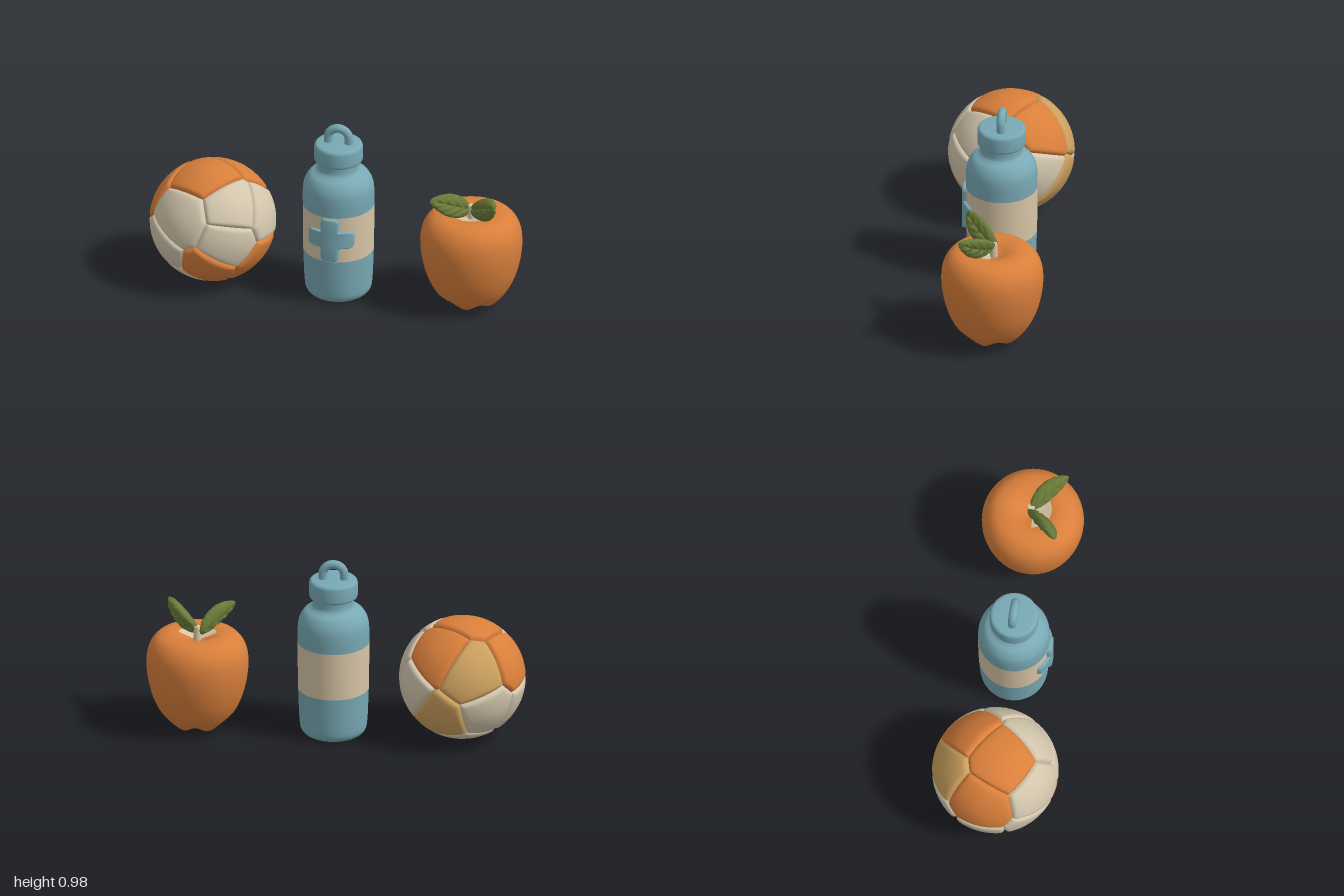
import * as THREE from 'three';
import { toCreasedNormals, mergeVertices } from 'three/addons/utils/BufferGeometryUtils.js';

const V2 = (x, y) => new THREE.Vector2(x, y);
const V3 = (x, y, z) => new THREE.Vector3(x, y, z);

function material(name, color) {
  const m = new THREE.MeshStandardMaterial({ color });
  m.name = name;
  return m;
}

function addMesh(group, name, geometry, mat) {
  const mesh = new THREE.Mesh(geometry, mat);
  mesh.name = name;
  group.add(mesh);
  return mesh;
}

// Smooth curve through a few [radius, height] pairs
const profile = (pairs, n) =>
  new THREE.SplineCurve(pairs.map(([r, y]) => V2(r, y))).getPoints(n)
    .map(p => V2(Math.max(p.x, 0), p.y));

// One padded ball panel: the region of the sphere nearest to its own seed
function panelGeometry(seed, seeds, R) {
  const rings = [0, 0.2, 0.4, 0.6, 0.72, 0.81, 0.88, 0.93, 0.97, 1];
  const segs = 120;
  const u = V3(0.3, 0.9, 0.35).cross(seed).normalize();
  const v = seed.clone().cross(u);
  const pos = [], index = [];
  const limits = [];
  for (let j = 0; j < segs; j++) {
    const a = (j / segs) * Math.PI * 2;
    const dir = u.clone().multiplyScalar(Math.cos(a)).addScaledVector(v, Math.sin(a));
    let limit = 1;
    for (const q of seeds) {
      const d = dir.dot(q);
      if (q !== seed && d > 1e-4) limit = Math.min(limit, Math.atan2(1 - seed.dot(q), d));
    }
    limits.push({ dir, limit });
  }
  for (const f of rings) {
    for (const { dir, limit } of limits) {
      const t = f * limit;
      const k = Math.max(0, 1 - (limit - t) / 0.1);
      const p = seed.clone().multiplyScalar(Math.cos(t)).addScaledVector(dir, Math.sin(t));
      p.multiplyScalar(R - 0.02 * k * k * k);
      pos.push(p.x, p.y, p.z);
    }
  }
  for (let i = 0; i < rings.length - 1; i++) {
    for (let j = 0; j < segs; j++) {
      const a = i * segs + j, b = i * segs + (j + 1) % segs;
      if (i > 0) index.push(a, b + segs, b);
      index.push(a, a + segs, b + segs);
    }
  }
  const g = new THREE.BufferGeometry();
  g.setAttribute('position', new THREE.Float32BufferAttribute(pos, 3));
  g.setIndex(index);
  const merged = mergeVertices(g, 1e-6);
  merged.computeVertexNormals();
  return merged;
}

function createBall(mats) {
  const ball = new THREE.Group();
  ball.name = 'ball';
  const R = 0.333;
  const layout = {
    cream: [[-0.4, 0.4, 0.83], [0.52, 0.58, 0.62], [0.5, 0.03, 0.86], [-0.66, -0.33, 0.66],
      [-0.42, -0.82, 0.4], [0.94, 0.28, 0.1], [0.84, 0, -0.54], [-0.5, -0.32, -0.8],
      [-0.9, -0.42, -0.12], [-0.06, -0.96, -0.24]],
    orange: [[0.06, -0.55, 0.83], [-0.1, 0.95, 0.2], [-0.88, 0.42, -0.18],
      [0.84, -0.5, 0.2], [0.42, 0.68, -0.58]],
    tan: [[-0.27, 0.42, -0.87], [0.33, -0.45, -0.83]],
  };
  const panels = Object.entries(layout).flatMap(([color, list]) =>
    list.map(p => ({ color, seed: V3(...p).normalize() })));
  const seeds = panels.map(p => p.seed);
  for (const { color, seed } of panels) {
    addMesh(ball, color + 'Panel', panelGeometry(seed, seeds, R), mats[color]);
  }
  addMesh(ball, 'seams', new THREE.SphereGeometry(R - 0.021, 48, 32), mats.cream);
  ball.scale.y = 0.975;
  ball.position.set(-0.667, 0.334, 0);
  return ball;
}

// Plus sign with rounded arm ends, wrapped on a cylinder of radius R
function crossGeometry(w, L, R) {
  const r = 0.018, shape = new THREE.Shape();
  for (let i = 0; i < 4; i++) {
    const at = (x, y) => {
      for (let k = 0; k < i; k++) [x, y] = [-y, x];
      return [x, y];
    };
    if (i === 0) shape.moveTo(...at(w, w));
    shape.lineTo(...at(w, L - r));
    shape.quadraticCurveTo(...at(w, L), ...at(w - r, L));
    shape.lineTo(...at(r - w, L));
    shape.quadraticCurveTo(...at(-w, L), ...at(-w, L - r));
    shape.lineTo(...at(-w, w));
  }
  const g = new THREE.ExtrudeGeometry(shape, {
    depth: 0.035, bevelEnabled: true, bevelSize: 0.008, bevelThickness: 0.008, bevelSegments: 3, curveSegments: 6,
  });
  const p = g.attributes.position;
  for (let i = 0; i < p.count; i++) {
    const x = p.getX(i);
    p.setZ(i, p.getZ(i) - 0.022 + Math.sqrt(R * R - x * x));
  }
  return toCreasedNormals(g, 0.7);
}

function createBottle(mats) {
  const bottle = new THREE.Group();
  bottle.name = 'bottle';
  const lathe = pts => new THREE.LatheGeometry(pts, 72);
  addMesh(bottle, 'lowerBody', lathe(profile([[0, 0.02], [0.09, 0.018], [0.125, 0.003], [0.15, 0.004],
    [0.172, 0.03], [0.179, 0.08], [0.183, 0.17], [0.186, 0.258]], 48)), mats.teal);
  addMesh(bottle, 'labelBand', lathe([V2(0.186, 0.258), V2(0.188, 0.39), V2(0.188, 0.52)]), mats.sand);
  addMesh(bottle, 'upperBody', lathe(profile([[0.188, 0.52], [0.188, 0.6], [0.18, 0.652], [0.155, 0.695],
    [0.122, 0.717], [0.108, 0.738], [0.107, 0.79]], 40)), mats.teal);

  // Screw cap with rounded rims
  const cap = new THREE.Path();
  cap.moveTo(0.09, 0.774);
  cap.lineTo(0.112, 0.774);
  cap.quadraticCurveTo(0.128, 0.774, 0.128, 0.79);
  cap.lineTo(0.128, 0.853);
  cap.quadraticCurveTo(0.128, 0.877, 0.104, 0.877);
  cap.lineTo(0, 0.877);
  addMesh(bottle, 'cap', toCreasedNormals(lathe(cap.getPoints(8)), 0.8), mats.teal);

  // Carrying loop
  const loop = [V3(-0.056, 0.86, 0), V3(-0.056, 0.905, 0)];
  for (let i = 1; i < 8; i++) {
    const a = Math.PI * (1 - i / 8);
    loop.push(V3(Math.cos(a) * 0.056, 0.905 + Math.sin(a) * 0.053, 0));
  }
  loop.push(V3(0.056, 0.905, 0), V3(0.056, 0.86, 0));
  addMesh(bottle, 'capLoop', new THREE.TubeGeometry(new THREE.CatmullRomCurve3(loop), 40, 0.023, 16), mats.teal);

  addMesh(bottle, 'cross', crossGeometry(0.04, 0.115, 0.188), mats.teal).position.y = 0.393;
  bottle.position.set(0.012, 0, -0.011);
  return bottle;
}

// Pointed, padded leaf along +y with a grooved midrib and side veins
function leafGeometry() {
  const g = new THREE.SphereGeometry(1, 40, 48);
  const p = g.attributes.position;
  for (let i = 0; i < p.count; i++) {
    const x = p.getX(i), y = p.getY(i), z = p.getZ(i);
    const taper = 1 - 0.3 * Math.max(0, y) ** 2;
    const groove = 1 - 0.45 * Math.exp(-((x / 0.14) ** 2));
    const vein = 1 + 0.12 * Math.cos((y - Math.abs(x) * 0.8) * 14);
    p.setXYZ(i, x * 0.062 * taper, (y + 1) * 0.132,
      z * 0.032 * groove * vein + 0.012 * (x * x - y * y));
  }
  return toCreasedNormals(g, 1.2);
}

function createApple(mats) {
  const apple = new THREE.Group();
  apple.name = 'apple';
  const skin = new THREE.LatheGeometry(profile([[0, 0.06], [0.04, 0.05], [0.085, 0.03], [0.13, 0.042],
    [0.19, 0.1], [0.235, 0.19], [0.262, 0.3], [0.268, 0.4], [0.252, 0.475], [0.21, 0.528], [0.15, 0.546],
    [0.1, 0.54], [0.05, 0.518], [0, 0.5]], 72), 80);
  // Five lobes around the underside
  const p = skin.attributes.position;
  for (let i = 0; i < p.count; i++) {
    const x = p.getX(i), y = p.getY(i), z = p.getZ(i);
    const low = Math.max(0, 1 - y / 0.12) * Math.min(1, Math.hypot(x, z) / 0.07);
    p.setY(i, y - 0.016 * low * Math.cos(5 * Math.atan2(x, z)));
  }
  addMesh(apple, 'skin', toCreasedNormals(skin, 1), mats.orange);

  // Pale patch in the hollow, on the front side of the stem
  addMesh(apple, 'stemPatch', new THREE.LatheGeometry(
    [V2(0.1, 0.543), V2(0.05, 0.522), V2(0, 0.504)].reverse(), 32, -1.5, 3), mats.sand).material.side = THREE.DoubleSide;

  const stem = addMesh(apple, 'stem', new THREE.CylinderGeometry(0.018, 0.022, 0.1, 16), mats.sand);
  stem.position.set(0, 0.535, -0.008);

  // Mirrored pair of leaves leaning forward and outward
  const leaf = leafGeometry();
  for (const side of [-1, 1]) {
    const axis = V3(side * 0.18, 0.12, 0.175).normalize();
    const wide = V3(side * -0.1, 0.82, -0.58);
    wide.addScaledVector(axis, -wide.dot(axis)).normalize();
    const normal = wide.clone().cross(axis);
    const mesh = addMesh(apple, side > 0 ? 'leftLeaf' : 'rightLeaf', leaf, mats.green);
    mesh.quaternion.setFromRotationMatrix(new THREE.Matrix4().makeBasis(wide, axis, normal));
    mesh.position.set(side * 0.006, 0.553, -0.012);
  }
  apple.position.set(0.728, 0, -0.027);
  return apple;
}

export function createModel() {
  const mats = {
    cream: material('cream', 0xd3c6ad),
    orange: material('orange', 0xd97f3b),
    tan: material('tan', 0xcca05e),
    teal: material('teal', 0x78a9b4),
    sand: material('sand', 0xd8c5a6),
    green: material('leaf green', 0x6a7a38),
  };
  const model = new THREE.Group();
  model.name = 'ballBottleApple';
  model.add(createBall(mats), createBottle(mats), createApple(mats));
  return model;
}
